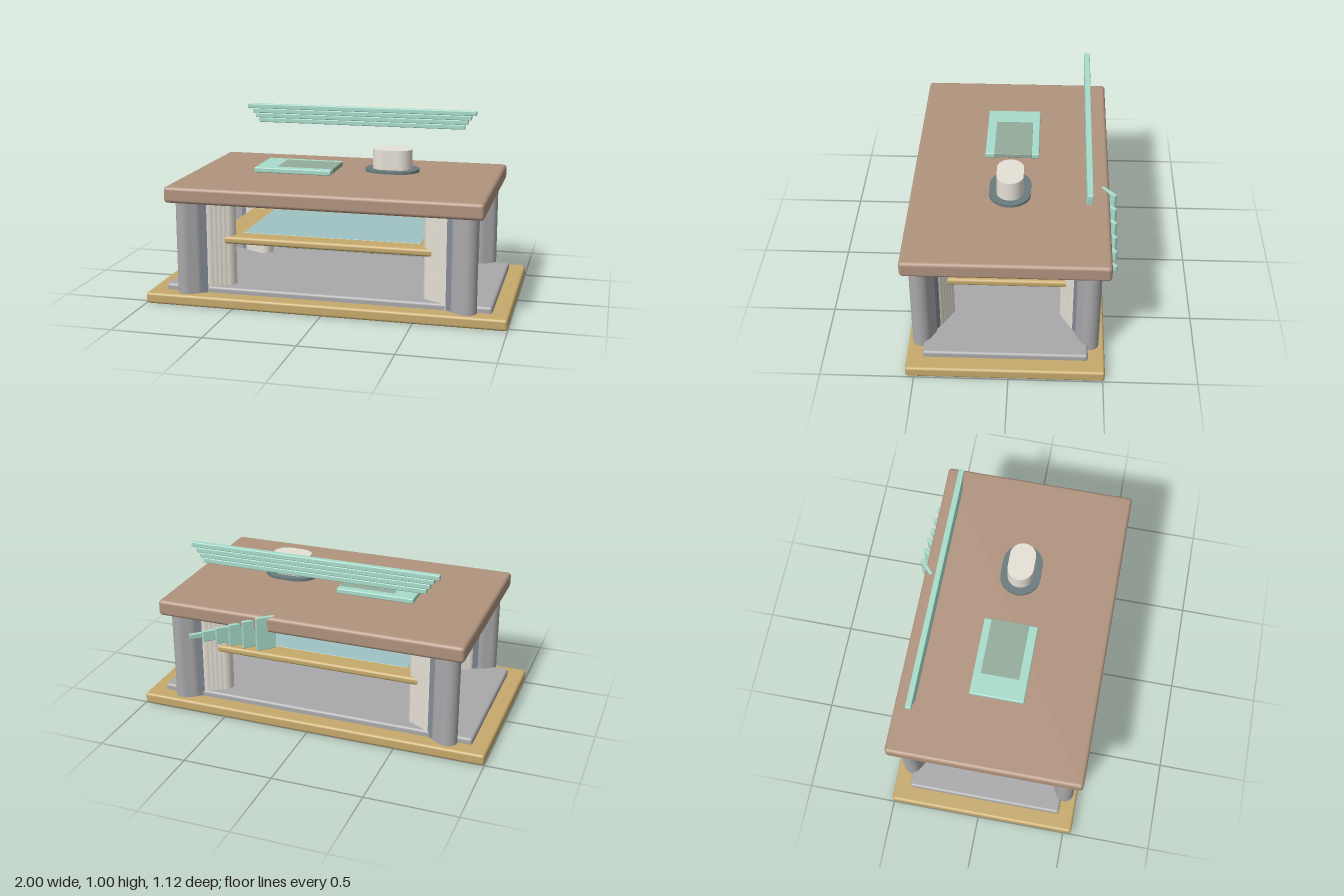
import * as THREE from 'three';
import { RoundedBoxGeometry } from 'three/addons/geometries/RoundedBoxGeometry.js';

const mat = (color) => new THREE.MeshStandardMaterial({ color });
const wood = mat(0xc6aa6c), brown = mat(0xb0937e), mint = mat(0xa8dccb), grey = mat(0xa9a9ab);
const steel = mat(0x858c98), cream = mat(0xe6e1d6), slate = mat(0x6a7b7d), olive = mat(0x93ab9a);

function add(parent, name, geometry, material, x = 0, y = 0, z = 0) {
  const mesh = new THREE.Mesh(geometry, material);
  mesh.name = name;
  mesh.position.set(x, y, z);
  parent.add(mesh);
  return mesh;
}

// Rounded slab given by its limits on each axis
function slab(parent, name, material, [x0, x1], [y0, y1], [z0, z1], r = 0.015) {
  const g = new RoundedBoxGeometry(x1 - x0, y1 - y0, z1 - z0, 3, r);
  return add(parent, name, g, material, (x0 + x1) / 2, (y0 + y1) / 2, (z0 + z1) / 2);
}

// Upright prism with a stadium outline, long along x, standing on y = 0
function stadium(length, depth, height) {
  const r = depth / 2, h = length / 2 - r;
  const s = new THREE.Shape();
  s.absarc(h, 0, r, -Math.PI / 2, Math.PI / 2);
  s.absarc(-h, 0, r, Math.PI / 2, Math.PI * 1.5);
  s.closePath();
  const g = new THREE.ExtrudeGeometry(s, { depth: height, bevelEnabled: false, curveSegments: 24 });
  return g.rotateX(-Math.PI / 2);
}

// Diagonal leg: smooth outer post, flat web and fluted inner end (outer end at local +x)
function createLeg() {
  const leg = new THREE.Group();
  leg.name = 'leg';
  const y0 = 0.03, h = 0.57;
  add(leg, 'outerPost', stadium(0.15, 0.105, h), grey, 0.09, y0, 0);
  add(leg, 'web', new THREE.BoxGeometry(0.1, h, 0.09), steel, 0.01, y0 + h / 2, 0);
  for (let i = 0; i < 5; i++) {
    const flute = new THREE.CylinderGeometry(0.05, 0.05, h, 16);
    add(leg, 'flute', flute, cream, -0.115 + i * 0.025, y0 + h / 2, 0);
  }
  return leg;
}

export function createModel() {
  const model = new THREE.Group();
  model.name = 'coffeeTable';

  // Stacked slabs
  slab(model, 'base', wood, [-1, 1], [0, 0.062], [-0.51, 0.545]);
  slab(model, 'lowerPanel', grey, [-0.91, 0.91], [0.03, 0.096], [-0.42, 0.457]);
  slab(model, 'shelf', wood, [-0.645, 0.645], [0.335, 0.376], [-0.377, 0.415]);
  slab(model, 'shelfInlay', mat(0x9fc3c4), [-0.5, 0.5], [0.36, 0.378], [-0.27, 0.31], 0.003);
  slab(model, 'tableTop', brown, [-0.87, 0.867], [0.582, 0.672], [-0.525, 0.56], 0.02);

  // Four legs pointing towards the middle
  for (const sx of [-1, 1]) for (const sz of [-1, 1]) {
    const leg = createLeg();
    leg.position.set(sx * 0.68, 0, 0.021 + sz * 0.394);
    leg.rotation.y = Math.atan2(-sz * 0.11, sx * 0.2);
    model.add(leg);
  }

  // Book with its page block
  slab(model, 'book', mint, [-0.48, -0.037], [0.693, 0.722], [-0.135, 0.167], 0.006);
  slab(model, 'pages', olive, [-0.36, -0.035], [0.697, 0.723], [-0.095, 0.118], 0.003);

  // Oval cup and saucer
  add(model, 'saucer', stadium(0.305, 0.225, 0.015), slate, 0.283, 0.71, 0.014);
  add(model, 'cup', stadium(0.222, 0.145, 0.113), cream, 0.283, 0.722, 0.014);

  // Stepped rail above the back edge
  [0.63, 0.648, 0.668, 0.697].forEach((half, i) => {
    const y = 0.889 + i * 0.0275;
    slab(model, 'railBar', mint, [-half, half], [y, y + 0.0275], [-0.418, -0.386], 0.005);
  });

  // Slanted slats behind the top, shrinking towards +x
  for (let i = 0; i < 6; i++) {
    const top = 0.675 - i * 0.032, bottom = 0.485;
    const g = new RoundedBoxGeometry(0.108, top - bottom, 0.02, 2, 0.004);
    const slat = add(model, 'slat', g, mint, 0.224 + i * 0.08, (top + bottom) / 2, -0.523);
    slat.rotation.y = 0.73;
  }
  return model;
}
